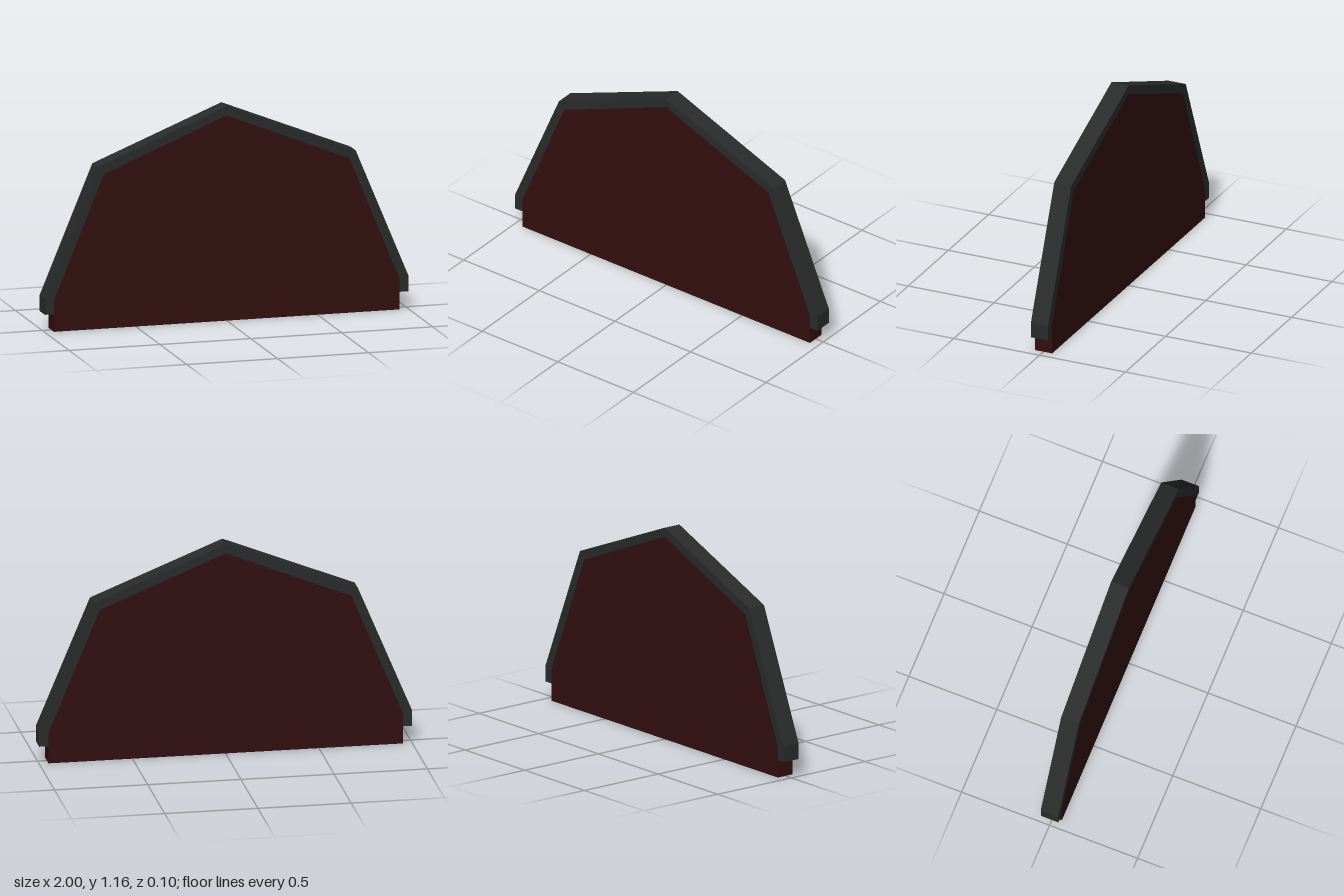
import * as THREE from 'three';

const DEPTH = 0.1;

// Right half of each outline, from the eave up to the ridge
const outerHalf = [[1, 0.095], [1, 0.18], [0.71, 0.875], [0, 1.16]];
const innerHalf = [[0.95, 0.095], [0.95, 0.17], [0.675, 0.835], [0, 1.11]];

// Complete a half outline by mirroring it across x = 0
function mirrored(half) {
  const left = half.slice(0, -1).reverse().map(([x, y]) => [-x, y]);
  return [...half, ...left].map(([x, y]) => new THREE.Vector2(x, y));
}

function slab(name, points, color) {
  const geometry = new THREE.ExtrudeGeometry(new THREE.Shape(points), {
    depth: DEPTH,
    bevelEnabled: false,
  });
  geometry.translate(0, 0, -DEPTH / 2);
  const mesh = new THREE.Mesh(geometry, new THREE.MeshStandardMaterial({ color, flatShading: true }));
  mesh.name = name;
  return mesh;
}

export function createModel() {
  const group = new THREE.Group();
  group.name = 'gableWall';

  // Wall panel, reaching below the trim to the ground
  const panel = mirrored([[0.95, 0], ...innerHalf.slice(1)]);
  group.add(slab('wallPanel', panel, 0x330f10));

  // Roof trim band wrapped around the panel, open at the bottom
  const trim = [...mirrored(outerHalf), ...mirrored(innerHalf).reverse()];
  group.add(slab('roofTrim', trim, 0x2a2c2c));

  return group;
}
